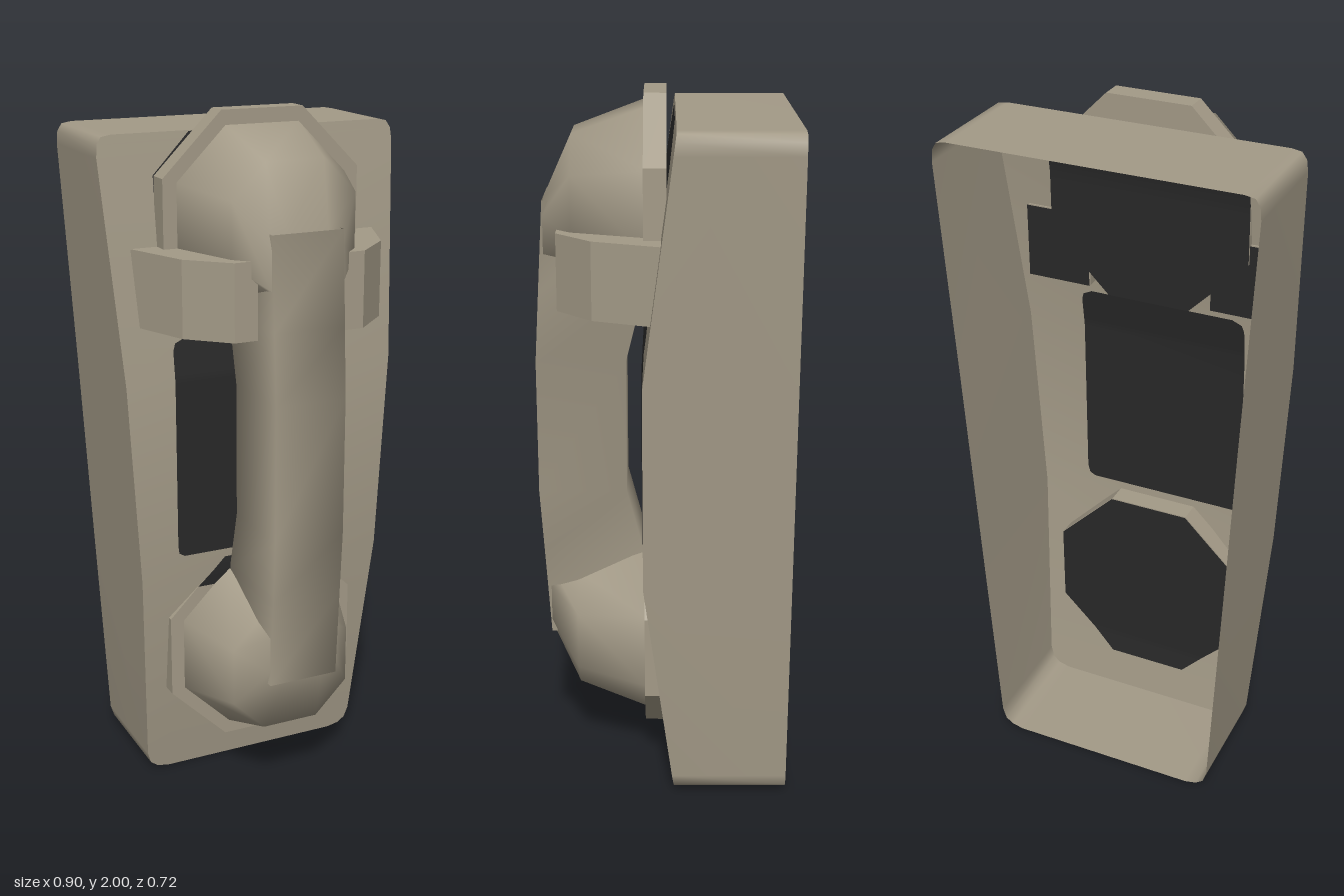
import * as THREE from 'three';

const beige = new THREE.MeshStandardMaterial({ color: 0xa39a87 });
beige.name = 'warm beige plastic';
beige.side = THREE.DoubleSide;
const dark = new THREE.MeshStandardMaterial({ color: 0x282828 });
dark.name = 'dark grey';
dark.side = THREE.DoubleSide;

function mesh(geometry, material, name) {
  const m = new THREE.Mesh(geometry, material);
  m.name = name;
  return m;
}

function indexed(points, index) {
  const g = new THREE.BufferGeometry();
  g.setAttribute('position', new THREE.Float32BufferAttribute(points.flat(), 3));
  g.setIndex(index);
  g.computeVertexNormals();
  return g;
}

// Smooth skin over closed rings of equal length
function loft(rings, capped) {
  const n = rings[0].length, index = [];
  for (let i = 0; i + 1 < rings.length; i++) {
    for (let j = 0; j < n; j++) {
      const k = (j + 1) % n, a = i * n + j, b = i * n + k;
      index.push(a, b, b + n, a, b + n, a + n);
    }
  }
  if (capped) {
    const e = (rings.length - 1) * n;
    for (let j = 1; j < n - 1; j++) index.push(e, e + j, e + j + 1);
  }
  return indexed(rings.flat(), index);
}

// Sheet of rows [y, xLeft, xRight] laid on the surface z = depth(y)
function sheet(rows, depth, steps = 1) {
  const pts = [], index = [];
  rows.forEach((r, i) => {
    const next = rows[i + 1];
    const count = next ? steps : 1;
    for (let s = 0; s < count; s++) {
      const [y, l, q] = next ? r.map((v, c) => v + (next[c] - v) * s / steps) : r;
      pts.push([l, y, depth(y)], [q, y, depth(y)]);
    }
  });
  for (let a = 0; a + 3 < pts.length; a += 2) index.push(a, a + 1, a + 3, a, a + 3, a + 2);
  return indexed(pts, index);
}

// Bulged front face of the wall base
function faceZ(y) {
  if (y < 0.67) return -0.035 + 0.09 * y / 0.67;
  if (y > 1.26) return 0.055 - 0.09 * (y - 1.26) / 0.68;
  return 0.055;
}

// Octagon with half width r and flats of half length f, counter-clockwise
const octagon = (r, f) => [[r, -f], [r, f], [f, r], [-f, r], [-r, f], [-r, -f], [-f, -r], [f, -r]];

export function createModel() {
  const model = new THREE.Group();
  model.name = 'wallTelephone';

  // Tapered base, open at the back
  const half = [[0, 0.28], [0.008, 0.315], [0.025, 0.337], [0.06, 0.348], [0.67, 0.382],
    [1.26, 0.414], [1.88, 0.45], [1.915, 0.447], [1.935, 0.434], [1.94, 0.405]];
  const outline = [...half.map(([y, x]) => [x, y]), ...half.map(([y, x]) => [-x, y]).reverse()];
  model.add(mesh(loft([
    outline.map(([x, y]) => [x, y, -0.36]),
    outline.map(([x, y]) => [x, y, faceZ(y)]),
  ]), beige, 'baseWalls'));
  model.add(mesh(sheet(half.map(([y, x]) => [y, -x, x]), faceZ), beige, 'baseFront'));

  // Dark keypad panel, visible on both sides of the face
  const pad = [[0.735, -0.25, 0.21], [0.745, -0.267, 0.227], [0.77, -0.27, 0.233],
    [1.26, -0.27, 0.233], [1.35, -0.27, 0.233], [1.37, -0.263, 0.227], [1.383, -0.235, 0.2]];
  for (const d of [0.004, -0.004]) {
    model.add(mesh(sheet(pad, (y) => faceZ(y) + d, 4), dark, 'keypadPanel'));
  }

  // Earpiece and mouthpiece, with dark rests behind them
  for (const [name, cy, turn] of [['earpiece', 1.705, 0], ['mouthpiece', 0.415, Math.PI]]) {
    const group = new THREE.Group();
    group.name = name;
    const capShape = new THREE.Shape(octagon(0.295, 0.122).map((p) => new THREE.Vector2(...p)));
    const cap = mesh(new THREE.ExtrudeGeometry(capShape, { depth: 0.062, bevelEnabled: false }), beige, name + 'Cap');
    cap.position.z = -0.01;
    const ring = (r, f, z, dy, sy) => octagon(r, f).map(([x, y]) => [x, y * sy + dy, z]);
    const cup = mesh(loft([
      ring(0.255, 0.11, 0.05, 0, 1),
      ring(0.183, 0.085, 0.25, 0, 1),
      ring(0.105, 0.06, 0.331, -0.09, 0.9),
    ], true), beige, name + 'Cup');
    group.add(cap, cup);
    group.position.y = cy;
    group.rotation.z = turn;
    model.add(group);

    const rest = [[cy - 0.295, 0.122], [cy - 0.122, 0.295], [cy + 0.122, 0.295],
      turn ? [cy + 0.295, 0.122] : [1.938, 0.182]].map(([y, x]) => [y, -x, x]);
    model.add(mesh(sheet(rest, (y) => faceZ(y) + 0.003, 10), dark, name + 'RestFront'));
    model.add(mesh(sheet(rest, (y) => Math.min(faceZ(y) - 0.004, -0.014), 10), dark, name + 'RestBack'));
  }

  // Handset grip, swept from mouthpiece to earpiece
  const w = 0.105;
  const grip = [[0.41, 0.055, 0.332], [0.67, 0.055, 0.348], [0.86, 0.105, 0.36],
    [1.25, 0.105, 0.36], [1.45, 0.055, 0.348], [1.71, 0.055, 0.332]];
  model.add(mesh(loft(grip.map(([y, b, f]) => [[w, y, f], [w, y, b], [-w, y, b], [-w, y, f]])), beige, 'handsetGrip'));

  // Curved cradle hooks either side of the grip
  const hook = [[0.375, 0], [0.3, 0.19], [0.193, 0.29], [0.125, 0.29], [0.125, 0.265], [0.185, 0.2], [0.185, 0]];
  for (const side of [1, -1]) {
    const shape = new THREE.Shape(hook.map(([x, z]) => new THREE.Vector2(side * x, -z)));
    const g = new THREE.ExtrudeGeometry(shape, { depth: 0.215, bevelEnabled: false });
    g.rotateX(-Math.PI / 2);
    g.translate(0, 1.422, 0);
    const label = side > 0 ? 'left' : 'right';
    model.add(mesh(g, beige, label + 'CradleHook'));
    const back = mesh(new THREE.PlaneGeometry(0.19, 0.215), dark, label + 'HookBack');
    back.position.set(side * 0.28, 1.53, -0.008);
    model.add(back);
  }
  return model;
}
